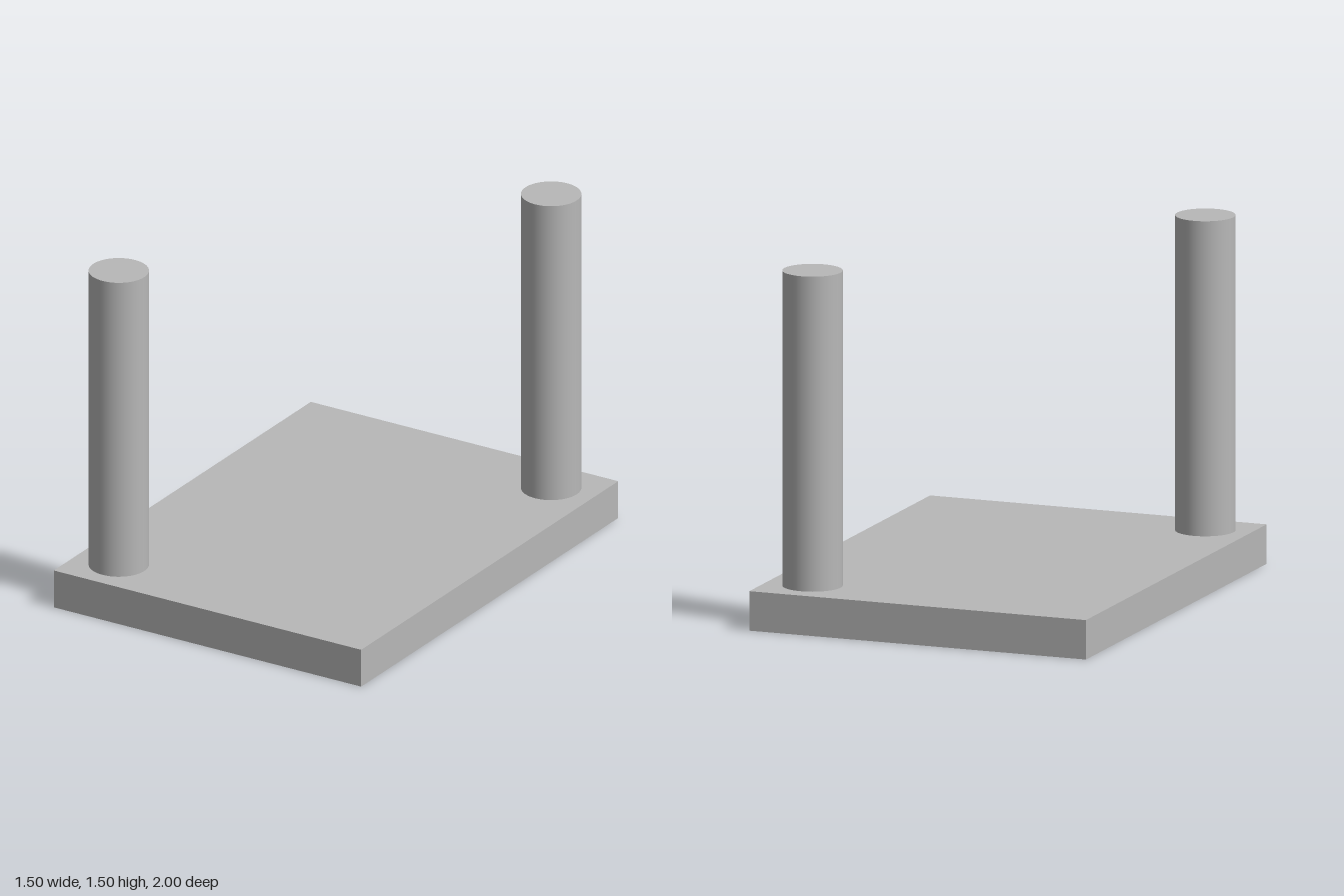
import * as THREE from 'three';

export function createModel() {
  const model = new THREE.Group();
  model.name = 'plateWithPins';

  const grey = new THREE.MeshStandardMaterial({ color: 0xb8b8b8 });
  grey.name = 'plain grey';

  const baseHeight = 0.167;
  const totalHeight = 1.5;
  const pinRadius = 0.125;

  // Flat rectangular base plate
  const base = new THREE.Mesh(new THREE.BoxGeometry(1.5, baseHeight, 2), grey);
  base.name = 'basePlate';
  base.position.y = baseHeight / 2;
  model.add(base);

  // Two round pins on opposite corners, standing on the plate
  const pinHeight = totalHeight - baseHeight;
  const pinGeometry = new THREE.CylinderGeometry(pinRadius, pinRadius, pinHeight, 64);
  const pins = [
    ['frontRightPin', -0.555, 0.805],
    ['backLeftPin', 0.55, -0.797],
  ];
  for (const [name, x, z] of pins) {
    const pin = new THREE.Mesh(pinGeometry, grey);
    pin.name = name;
    pin.position.set(x, baseHeight + pinHeight / 2, z);
    model.add(pin);
  }

  return model;
}
